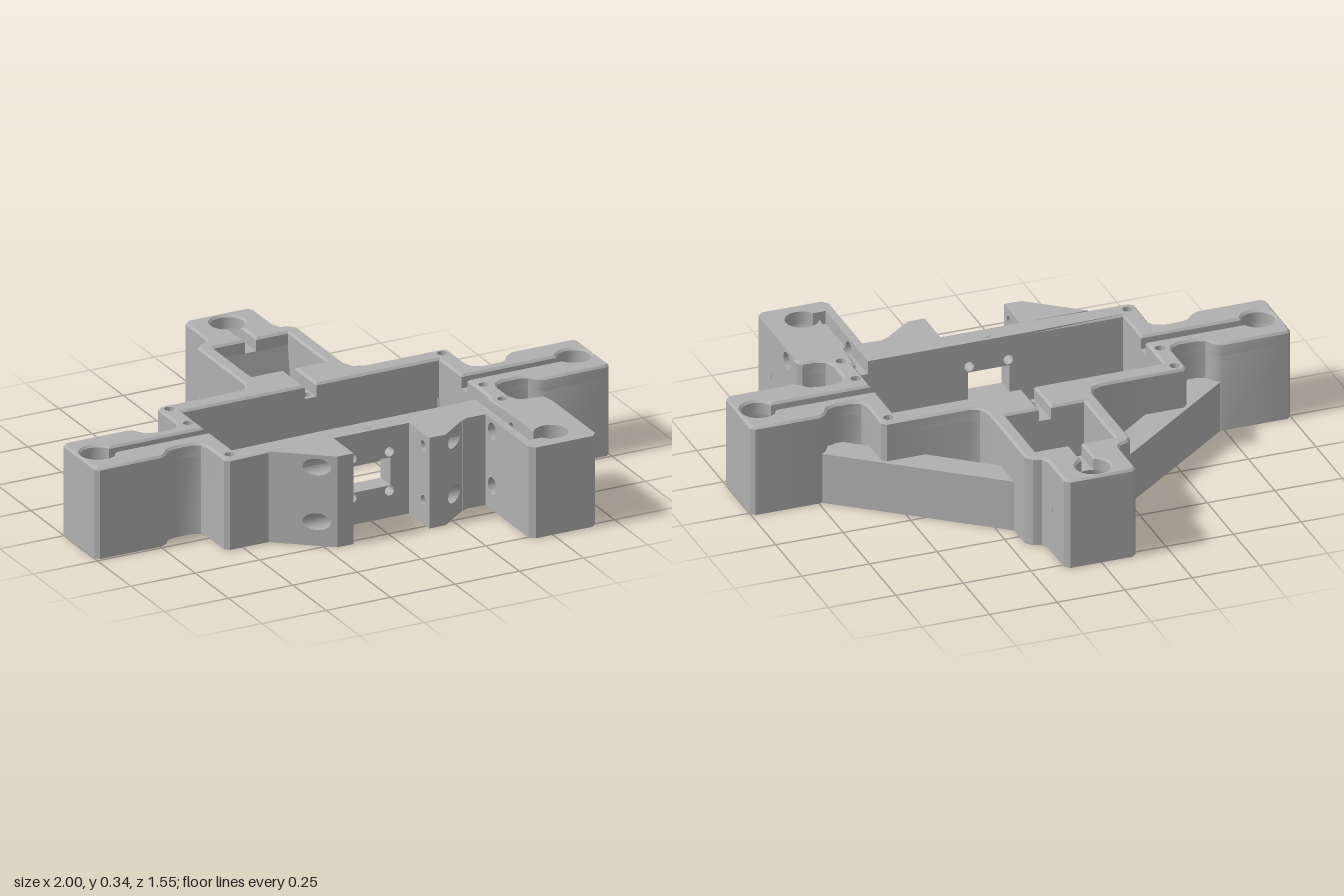
import * as THREE from 'three';
import { mergeGeometries, toCreasedNormals } from 'three/addons/utils/BufferGeometryUtils.js';

const H = 0.34, GROOVE = 0.29, CHAMFER = 0.008, HOLE = 0.06;
const grey = new THREE.MeshStandardMaterial({ color: 0xb0b0b0 });
grey.name = 'machined grey';

const vecs = (pts) => pts.map((p) => new THREE.Vector2(p[0], p[1]));
const mirror = (pts) => pts.map(([x, z]) => [-x, z]).reverse();
const rect = (x0, x1, z0, z1) => [[x0, z0], [x1, z0], [x1, z1], [x0, z1]];

// Points on an arc in the plan (x, z)
function arc(cx, cz, r, a0, a1, n = 28) {
  return Array.from({ length: n + 1 }, (_, i) => {
    const a = a0 + (a1 - a0) * i / n;
    return [cx + r * Math.cos(a), cz + r * Math.sin(a)];
  });
}
const circle = (cx, cz, r) => arc(cx, cz, r, 0, Math.PI * 2).slice(0, -1);

// Round hole opening into a groove that arrives from direction d
function keyhole(cx, cz, d) {
  const a = Math.asin(0.022 / HOLE);
  return arc(cx, cz, HOLE, d - a, d - 2 * Math.PI + a);
}

// Solid between a bottom and a top contour; holes are [bottom, top] pairs
function prism(bottom, top, holes, y0, y1) {
  const pos = [];
  const wall = (b, t, ccw) => {
    if (THREE.ShapeUtils.isClockWise(vecs(b)) === ccw) { b = [...b].reverse(); t = [...t].reverse(); }
    b.forEach((p, i) => {
      const j = (i + 1) % b.length, q = b[j], pt = t[i], qt = t[j];
      pos.push(p[0], y0, p[1], pt[0], y1, pt[1], q[0], y0, q[1]);
      pos.push(q[0], y0, q[1], pt[0], y1, pt[1], qt[0], y1, qt[1]);
    });
  };
  wall(bottom, top, true);
  holes.forEach(([b, t]) => wall(b, t, false));
  const sides = new THREE.BufferGeometry();
  sides.setAttribute('position', new THREE.Float32BufferAttribute(pos, 3));
  const cap = (outline, k, y, up) => {
    const s = new THREE.Shape(vecs(outline));
    s.holes = holes.map((h) => new THREE.Path(vecs(h[k])));
    const g = new THREE.ShapeGeometry(s).rotateX(Math.PI / 2).translate(0, y, 0);
    if (up) g.index.array.reverse();
    const flat = g.toNonIndexed();
    flat.deleteAttribute('uv');
    flat.deleteAttribute('normal');
    return flat;
  };
  return mergeGeometries([sides, cap(bottom, 0, y0, false), cap(top, 1, y1, true)]);
}
const straight = (outline, holes, y0, y1) => prism(outline, outline, holes.map((h) => [h, h]), y0, y1);

// Moves a contour inward for the chamfer, leaving joints with other parts alone
function inset(pts, d) {
  const sign = THREE.ShapeUtils.isClockWise(vecs(pts)) ? -1 : 1;
  const normal = (a, b) => new THREE.Vector2(a[1] - b[1], b[0] - a[0]).normalize().multiplyScalar(sign);
  return pts.map((p, i) => {
    const [x, z] = p;
    if (z > 0.42 || (Math.abs(x) < 0.16 && z > 0.29)) return p;
    const n1 = normal(pts[(i + pts.length - 1) % pts.length], p);
    const n2 = normal(p, pts[(i + 1) % pts.length]);
    const k = d / Math.max(0.4, 1 + n1.dot(n2));
    return [x + (n1.x + n2.x) * k, z + (n1.y + n2.y) * k];
  });
}

// Block extruded along x from x0 to x1 with cross-drilled holes at z = 0.48
function drilled(x0, x1, z0, z1, r, dip = false) {
  const s = new THREE.Shape();
  const top = dip ? GROOVE : H;
  s.moveTo(-z1, 0).lineTo(-z0, 0).lineTo(-z0, top);
  if (dip) s.lineTo(-0.48 + r, top).absarc(-0.48, top, r, 0, Math.PI, true);
  s.lineTo(-z1, top);
  for (const y of dip ? [0.09] : [0.09, 0.295]) {
    s.holes.push(new THREE.Path().absarc(-0.48, y, r, 0, Math.PI * 2, true));
  }
  const g = new THREE.ExtrudeGeometry(s, { depth: x1 - x0, bevelEnabled: false, curveSegments: 20 });
  return g.rotateY(Math.PI / 2).translate(x0, 0, 0);
}

export function createModel() {
  const model = new THREE.Group();
  model.name = 'frame';
  const add = (name, g) => {
    const m = new THREE.Mesh(toCreasedNormals(g, 0.55), grey);
    m.name = name;
    model.add(m);
  };

  // Outer contour of the back block and one side arm
  const half = [[.115, -.78], [.133, -.762], [.133, -.61], [.145, -.585], [.175, -.575], [.195, -.55],
    [.195, -.2], [.21, -.165], [.245, -.15], [.55, -.15], [.565, -.135], [.565, 0], [.575, .025],
    [.605, .04], [.67, .04], [.7, .03], [.72, -.005], [.745, -.02], [.985, -.02], [1, -.005],
    [1, .225], [.985, .24], [.745, .24], [.72, .225], [.7, .2], [.67, .19], [.605, .19],
    [.575, .205], [.565, .23]];
  const legRoot = [[.565, .32], [.58, .355], [.615, .37], [.66, .37], [.675, .385], [.675, .43]];
  const hump = [[.415, .43], [.38, .43], [.345, .428], [.32, .44], [.3, .375], [.145, .375], [.145, .3]];
  const leftEnd = [[-.5, .3], [-.15, .3], [-.15, .375], [-.55, .375], [-.565, .36], ...mirror(half)];

  // Lower body with the central opening, tilted bores and the back pocket
  const screws = [[-.53, -.115], [.53, -.115], [-.53, .025], [.53, .195], [-.53, .335], [.53, .335]];
  const screwHoles = screws.map(([x, z]) => circle(x, z, .018));
  const lower = [...half, ...legRoot, ...hump, [.5, .3], [.5, -.08], [-.5, -.08], ...leftEnd];
  add('lowerBody', prism(lower, lower, [
    [circle(.84, .108, HOLE), circle(.925, .108, HOLE)],
    [circle(-.84, .108, HOLE), circle(-.925, .108, HOLE)],
    [circle(0, -.615, HOLE), circle(0, -.7, HOLE)],
    [rect(-.145, .145, -.49, -.24), rect(-.145, .145, -.53, -.24)],
    ...[...screwHoles, circle(0, -.115, .018)].map((h) => [h, h]),
  ], 0, GROOVE));

  // Upper body, where grooves join the opening, the pocket and the bores
  const upper = [...half, ...legRoot, [.49, .43], [.49, .3], [.5, .3],
    [.5, .13], ...keyhole(.925, .108, Math.PI), [.5, .086], [.5, -.08],
    [.022, -.08], [.022, -.24], [.145, -.24], [.145, -.53], [.022, -.53],
    ...keyhole(0, -.7, Math.PI / 2),
    [-.022, -.53], [-.145, -.53], [-.145, -.24], [-.022, -.24], [-.022, -.08],
    [-.5, -.08], [-.5, .086], ...keyhole(-.925, .108, 0), [-.5, .13], ...leftEnd];
  add('upperBody', straight(upper, screwHoles, GROOVE, H - CHAMFER));
  add('topRim', prism(upper, inset(upper, CHAMFER), screwHoles.map((h) => [h, h]), H - CHAMFER, H));
  add('frontRail', straight([[.445, .3], [.445, .43], ...hump], [], GROOVE, H));
  for (const [x, z] of [...screws, [0, -.115]]) {
    add('screwHoleFloor', new THREE.CylinderGeometry(.02, .02, .05, 20).translate(x, .15, z));
  }

  // Pocket floor with a round opening and a stepped ledge
  add('pocketFloor', straight(rect(-.145, .145, -.505, -.24), [circle(0, -.33, .082)], 0, .06));
  add('pocketLedge', prism(rect(-.145, .145, -.51, -.24), rect(-.145, .145, -.51, -.24),
    [[rect(-.105, .105, -.44, -.25), rect(-.105, .105, -.455, -.25)]], .06, .11));

  // Front wall with a rectangular window and four screw holes
  const wall = new THREE.Shape(vecs(rect(-.15, .145, 0, H)));
  wall.holes.push(new THREE.Path(vecs(rect(-.08, .075, .12, .225))));
  for (const x of [-.075, .07]) for (const y of [.1, .247]) {
    wall.holes.push(new THREE.Path().absarc(x, y, .018, 0, Math.PI * 2, true));
  }
  add('frontWall', new THREE.ExtrudeGeometry(wall, { depth: .075, bevelEnabled: false }).translate(0, 0, .3));
  add('topScrew', new THREE.CylinderGeometry(.02, .02, .004, 20).translate(0, H, .335));

  // Wedge-shaped ears beside the front wall
  for (const s of [1, -1]) {
    const span = (a, b) => (s > 0 ? [a, b] : [-b, -a]);
    add('earInner', drilled(...span(.147, .17), .375, .525, .018));
    const g = drilled(...span(.17, .6), .375, .525, .031);
    const p = g.attributes.position;
    for (let i = 0; i < p.count; i++) {
      if (p.getX(i) * s > .4) p.setX(i, s * (.21 + (.525 - p.getZ(i)) / .15 * .19));
    }
    add('earOuter', g);
  }

  // Front leg: cross-drilled middle, then the end with its tilted bore
  add('legInner', drilled(.415, .445, .43, .53, .031));
  add('legSlot', drilled(.445, .49, .43, .53, .031, true));
  add('legCore', drilled(.49, .62, .43, .53, .018));
  add('legOuter', drilled(.62, .675, .43, .53, .033));
  const legTip = [[.675, .53], [.675, .75], [.655, .77], [.435, .77], [.415, .75], [.415, .53]];
  add('legEnd', prism(legTip, legTip, [[circle(.545, .6, .058), circle(.545, .67, HOLE)]], 0, GROOVE));
  add('legEndTop', straight([...legTip, [.445, .53], [.445, .7],
    ...arc(.545, .67, HOLE, Math.PI * 5 / 6, -2.73), [.49, .53]], [], GROOVE, H));

  // Low diagonal struts from the back block to the arms
  const strut = [[.18, -.463], [.735, -.02], [.735, .02], [.645, .045], [.18, -.335]];
  add('leftStrut', straight(strut, [], 0, .19));
  add('rightStrut', straight(mirror(strut), [], 0, .19));

  // Set screws on the outer side faces
  for (const [x, z] of [[.675, .64], [.133, -.64], [-.133, -.64]]) {
    add('setScrew', new THREE.CylinderGeometry(.014, .014, .004, 16).rotateZ(Math.PI / 2).translate(x, .17, z));
  }
  return model;
}
